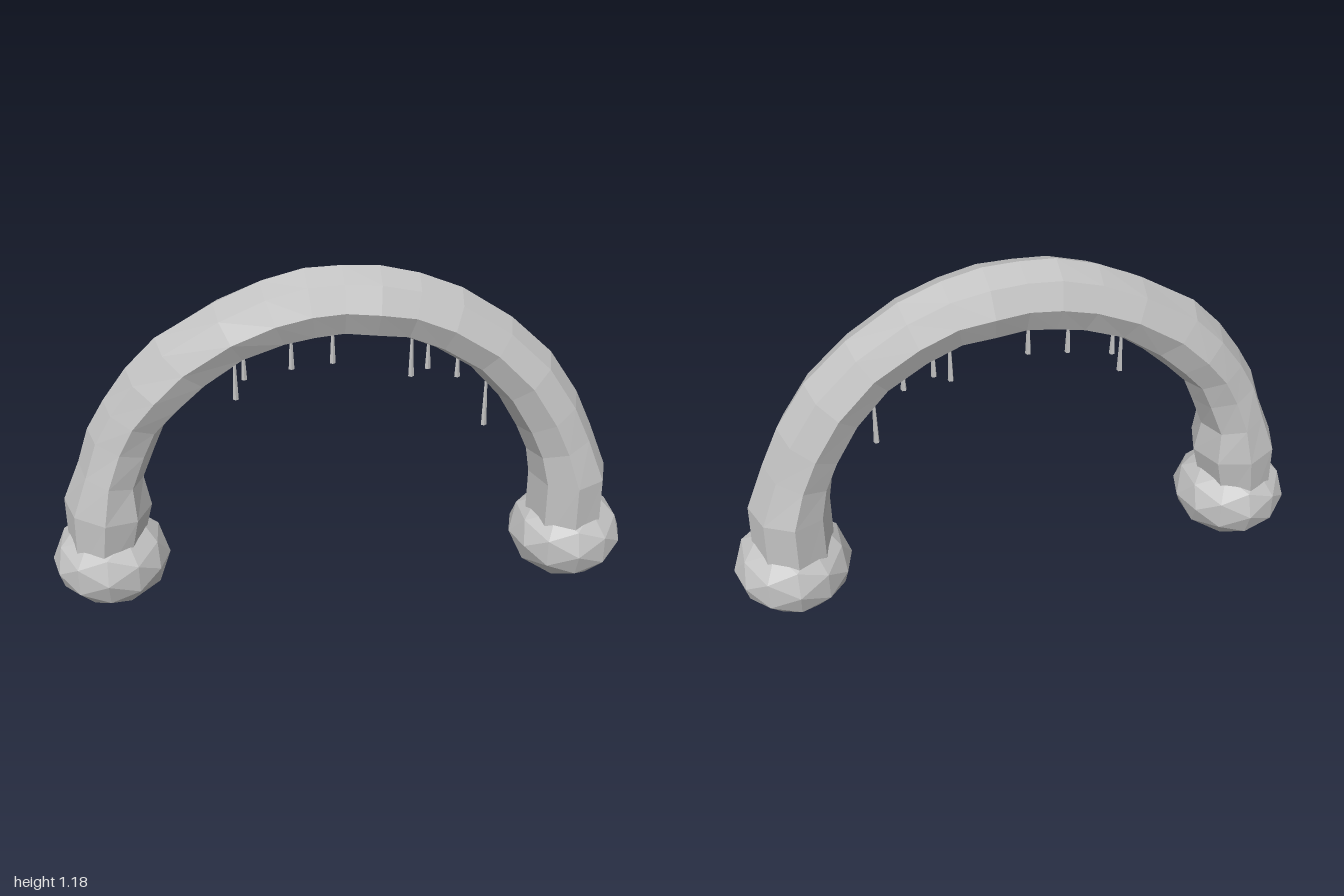
import * as THREE from 'three';

const stone = new THREE.MeshStandardMaterial({ color: 0xc2c2c2, flatShading: true });
stone.name = 'paleStone';

// Each ring of the arch: outer x, outer y, inner x, inner y, half depth
const RINGS = [
  [-0.94, 0.16, -0.70, 0.16, 0.16],
  [-0.94, 0.39, -0.65, 0.35, 0.172],
  [-0.88, 0.53, -0.67, 0.46, 0.15],
  [-0.84, 0.65, -0.625, 0.57, 0.135],
  [-0.78, 0.75, -0.59, 0.65, 0.135],
  [-0.70, 0.86, -0.52, 0.72, 0.14],
  [-0.60, 0.96, -0.43, 0.80, 0.135],
  [-0.41, 1.07, -0.31, 0.885, 0.138],
  [-0.26, 1.137, -0.18, 0.925, 0.13],
  [-0.12, 1.175, -0.09, 0.94, 0.13],
  [0, 1.18, 0, 0.95, 0.127],
  [0.12, 1.175, 0.10, 0.94, 0.135],
  [0.25, 1.145, 0.20, 0.93, 0.127],
  [0.39, 1.09, 0.31, 0.885, 0.13],
  [0.56, 0.98, 0.43, 0.81, 0.127],
  [0.70, 0.85, 0.53, 0.70, 0.135],
  [0.80, 0.70, 0.60, 0.58, 0.14],
  [0.86, 0.57, 0.64, 0.49, 0.145],
  [0.925, 0.41, 0.655, 0.40, 0.165],
  [0.93, 0.16, 0.655, 0.16, 0.165],
];
const SIDES = 8;

// Octagonal tube lofted through the rings, with a ridge on its outer line
function archGeometry() {
  const positions = [];
  const index = [];
  RINGS.forEach(([ox, oy, ix, iy, depth], i) => {
    for (let j = 0; j < SIDES; j++) {
      const a = (j / SIDES) * Math.PI * 2;
      const t = (1 - Math.cos(a)) / 2;
      positions.push(ox + (ix - ox) * t, oy + (iy - oy) * t, depth * Math.sin(a));
      if (i < RINGS.length - 1) {
        const k = (j + 1) % SIDES;
        const p = i * SIDES;
        const q = p + SIDES;
        index.push(p + j, p + k, q + k, p + j, q + k, q + j);
      }
    }
  });
  const g = new THREE.BufferGeometry();
  g.setAttribute('position', new THREE.Float32BufferAttribute(positions, 3));
  g.setIndex(index);
  g.computeVertexNormals();
  return g;
}

// Hanging drips: x, bottom y, top y
const DRIPS = [
  [-0.35, 0.73, 0.88],
  [-0.32, 0.80, 0.90],
  [-0.165, 0.83, 0.95],
  [-0.03, 0.845, 0.97],
  [0.23, 0.785, 0.94],
  [0.285, 0.81, 0.92],
  [0.385, 0.775, 0.87],
  [0.485, 0.59, 0.78],
];

export function createModel() {
  const model = new THREE.Group();
  model.name = 'archway';

  const add = (geometry, name, x = 0, y = 0, z = 0) => {
    const mesh = new THREE.Mesh(geometry, stone);
    mesh.name = name;
    mesh.position.set(x, y, z);
    model.add(mesh);
    return mesh;
  };

  add(archGeometry(), 'arch');

  // Squashed boulders at both ends
  for (const side of [-1, 1]) {
    const boulder = new THREE.IcosahedronGeometry(1, 1).scale(0.2, 0.157, 0.206);
    add(boulder, side > 0 ? 'leftBoulder' : 'rightBoulder', side * 0.8, 0.157, 0);
  }

  // Drips grow thicker towards the bottom
  DRIPS.forEach(([x, bottom, top]) => {
    const drip = new THREE.CylinderGeometry(0.004, 0.01, top - bottom, 5);
    add(drip, 'drip', x, (top + bottom) / 2, 0);
  });

  return model;
}
